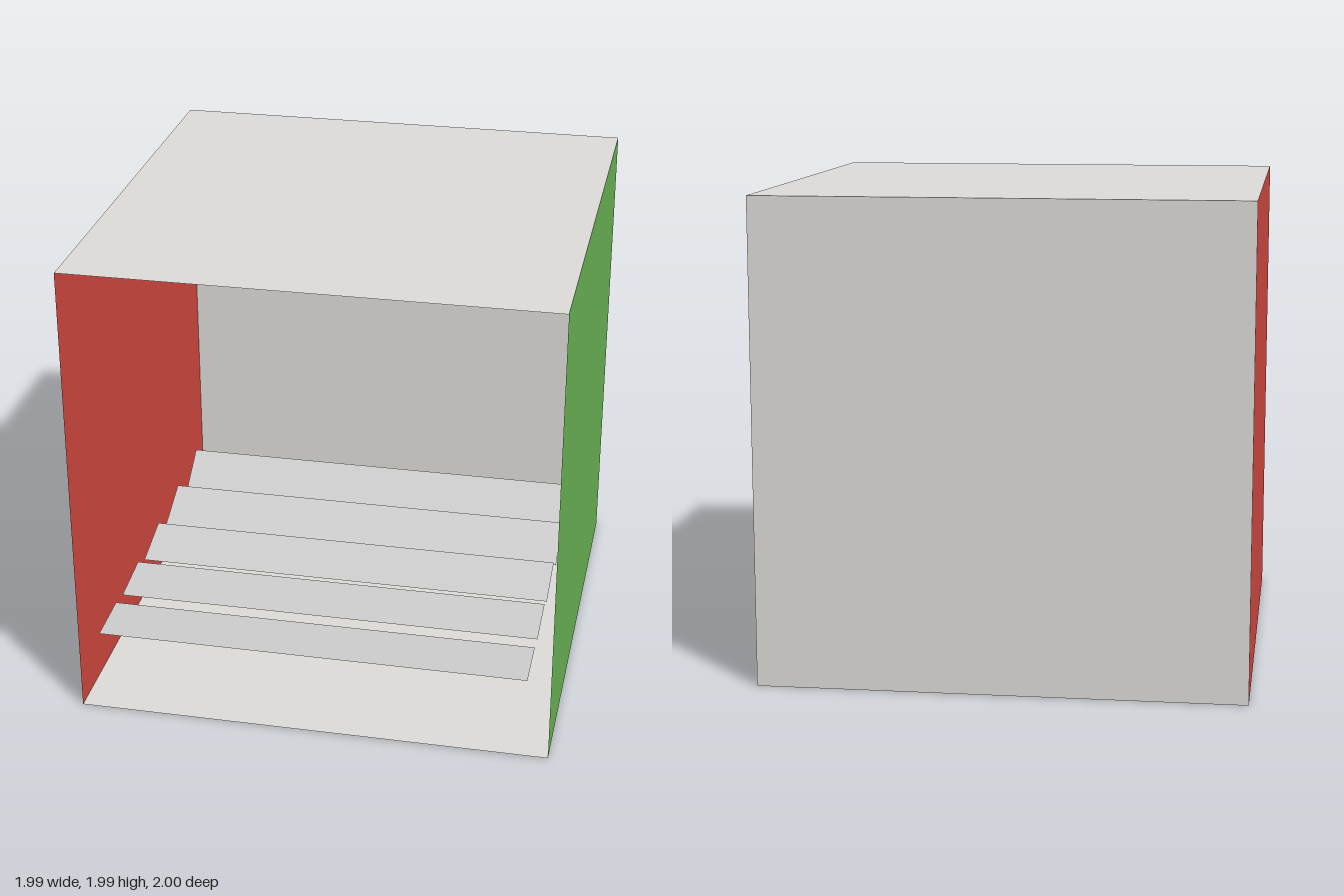
import * as THREE from 'three';

const HALF_X = 0.993, HEIGHT = 1.987, BACK = -1.0, FRONT = 0.987;
const DEPTH = FRONT - BACK, MID_Z = (FRONT + BACK) / 2;

const material = (color) => new THREE.MeshStandardMaterial({ color, side: THREE.DoubleSide });

export function createModel() {
  const model = new THREE.Group();
  const plaster = material(0xdddbd7);
  const red = material(0xd0483f);
  const green = material(0x69b355);
  const grey = material(0xcccccc);

  // Thin rectangular panel, placed by its centre and turned about x and y
  const panel = (name, mat, w, h, position, rx = 0, ry = 0) => {
    const mesh = new THREE.Mesh(new THREE.PlaneGeometry(w, h), mat);
    mesh.name = name;
    mesh.position.set(...position);
    mesh.rotation.set(rx, ry, 0);
    model.add(mesh);
  };

  // Open-fronted room, every panel facing inward
  panel('floor', plaster, 2 * HALF_X, DEPTH, [0, 0, MID_Z], -Math.PI / 2);
  panel('ceiling', plaster, 2 * HALF_X, DEPTH, [0, HEIGHT, MID_Z], Math.PI / 2);
  panel('backWall', plaster, 2 * HALF_X, HEIGHT, [0, HEIGHT / 2, BACK]);
  panel('rightWall', red, DEPTH, HEIGHT, [-HALF_X, HEIGHT / 2, MID_Z], 0, Math.PI / 2);
  panel('leftWall', green, DEPTH, HEIGHT, [HALF_X, HEIGHT / 2, MID_Z], 0, -Math.PI / 2);

  // Row of slats, tilting more steeply toward the back: [centre z, tilt]
  const slats = [[0.88, 0.03], [0.55, 0.113], [0.222, 0.245], [-0.113, 0.4], [-0.45, 0.59]];
  slats.forEach(([z, tilt], i) => {
    panel(`slat${i + 1}`, grey, 1.794, 0.24, [0, 0.377, z], -Math.PI / 2 + tilt);
  });

  // Square lamp panel aimed down at the slats
  panel('lampPanel', grey, 0.295, 0.295, [0.695, 1.594, -0.77], 0.865);

  // Round lamp
  const globe = new THREE.Mesh(new THREE.SphereGeometry(0.111, 32, 24), grey);
  globe.name = 'globeLamp';
  globe.position.set(-0.697, 1.594, -0.77);
  model.add(globe);

  return model;
}
